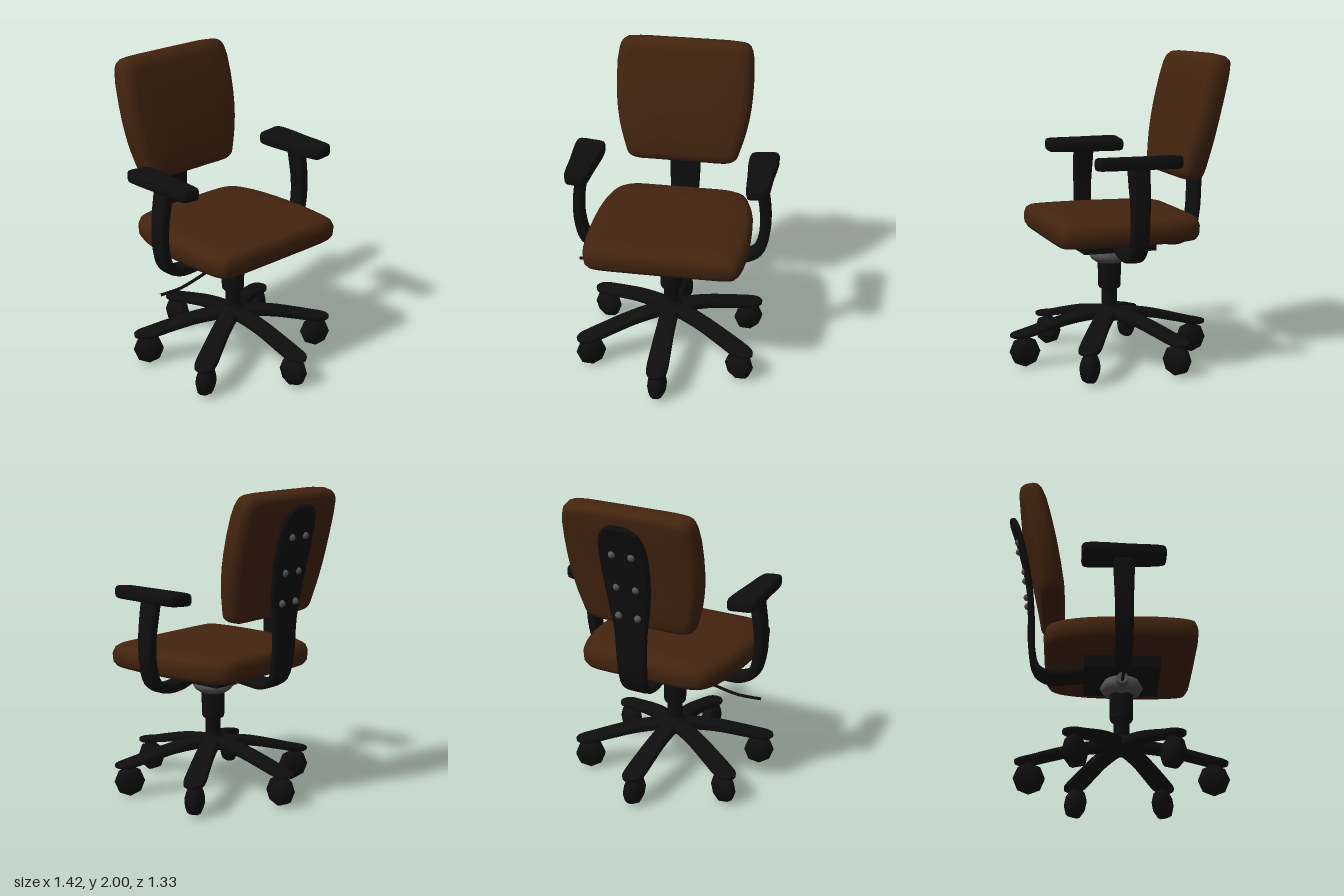
import * as THREE from 'three';

const V = (x, y, z) => new THREE.Vector3(x, y, z);
const CX = 0.04; // axis of the gas column

// Closed solid from equal-length loops of points, capped at both ends, smooth normals
function loft(rings) {
  const n = rings[0].length, pts = rings.flat(), idx = [];
  for (let r = 0; r < rings.length - 1; r++) {
    for (let i = 0; i < n; i++) {
      const a = r * n + i, b = r * n + (i + 1) % n;
      idx.push(a, b, a + n, b, b + n, a + n);
    }
  }
  const cap = (ring, start, flip) => {
    const c = pts.length;
    pts.push(ring.reduce((s, p) => s.add(p), V(0, 0, 0)).divideScalar(n));
    for (let i = 0; i < n; i++) {
      const a = start + i, b = start + (i + 1) % n;
      idx.push(c, ...(flip ? [b, a] : [a, b]));
    }
  };
  cap(rings[0], 0, true);
  cap(rings[rings.length - 1], (rings.length - 1) * n, false);
  // turn the solid outward when its loops run the other way
  let volume = 0;
  for (let i = 0; i < idx.length; i += 3) {
    volume += pts[idx[i]].dot(V(0, 0, 0).crossVectors(pts[idx[i + 1]], pts[idx[i + 2]]));
  }
  if (volume < 0) idx.reverse();
  const g = new THREE.BufferGeometry().setFromPoints(pts);
  g.setIndex(idx);
  g.computeVertexNormals();
  return g;
}

// Padded slab: a smooth outline repeated in layers [scaleA, scaleB, height], placed by a rule
function pad(outline, layers, place, centre = [0, 0]) {
  const curve = new THREE.CatmullRomCurve3(outline.map(([a, b]) => V(a, b, 0)), true);
  const loop = curve.getPoints(48).slice(0, 48);
  return loft(layers.map(([sa, sb, h]) => loop.map(p =>
    place(centre[0] + (p.x - centre[0]) * sa, centre[1] + (p.y - centre[1]) * sb, h))));
}

// Flat bar along points [u, v, halfWidth]; thickness runs from t0 to t1
function bar(points, t0, t1, place, steps = 28) {
  const curve = new THREE.CatmullRomCurve3(points.map(p => V(...p)));
  const rings = [];
  for (let i = 0; i <= steps; i++) {
    const k = i / steps, p = curve.getPoint(k), d = curve.getTangent(k);
    const len = Math.hypot(d.x, d.y), t = t0 + (t1 - t0) * k, ring = [];
    for (let j = 0; j < 12; j++) {
      const a = (j + 0.5) / 12 * Math.PI * 2;
      const round = f => Math.sign(f) * Math.sqrt(Math.abs(f));
      const h = t * round(Math.sin(a)), w = p.z * round(Math.cos(a));
      ring.push(place(p.x - d.y / len * h, p.y + d.x / len * h, w));
    }
    rings.push(ring);
  }
  return loft(rings);
}

const mirrorOutline = half => [...half, ...half.map(([a, b]) => [a, -b]).reverse()];

export function createModel() {
  const chair = new THREE.Group();
  chair.name = 'officeChair';
  const material = (name, color) => {
    const m = new THREE.MeshStandardMaterial({ color });
    m.name = name;
    return m;
  };
  const fabric = material('brownFabric', 0x43240f);
  const black = material('blackPlastic', 0x0e0e0f);
  const metal = material('greyMetal', 0x555555);
  const add = (name, geometry, mat, parent = chair) => {
    const mesh = new THREE.Mesh(geometry, mat);
    mesh.name = name;
    parent.add(mesh);
    return mesh;
  };

  // Seat cushion, outline in (x, z)
  const seatOutline = mirrorOutline([
    [0.505, 0.2], [0.5, 0.42], [0.485, 0.475], [0.44, 0.497], [0.3, 0.518], [0.05, 0.522],
    [-0.2, 0.5], [-0.36, 0.455], [-0.42, 0.41], [-0.447, 0.34], [-0.452, 0.15]]);
  add('seat', pad(seatOutline, [
    [0.4, 0.4, 0.838], [0.88, 0.88, 0.838], [0.96, 0.955, 0.846], [0.995, 0.99, 0.875],
    [1, 1, 0.93], [0.975, 0.97, 0.97], [0.92, 0.91, 0.99], [0.75, 0.75, 1.003], [0.4, 0.4, 1.008],
  ], (x, z, y) => V(x, y, z), [0.025, 0]), fabric);

  // Backrest cushion, outline in (y, z), leaning back with a slight bow
  const backOutline = mirrorOutline([
    [2.0, 0.15], [1.997, 0.33], [1.982, 0.405], [1.92, 0.437], [1.65, 0.447], [1.45, 0.425],
    [1.3, 0.385], [1.235, 0.36], [1.212, 0.315], [1.208, 0.15]]);
  add('backrest', pad(backOutline, [
    [0.5, 0.5, 0.088], [0.84, 0.84, 0.084], [0.94, 0.93, 0.072], [0.99, 0.98, 0.05], [1, 1, 0.02],
    [0.985, 1, -0.03], [0.95, 0.97, -0.06], [0.88, 0.9, -0.077], [0.5, 0.5, -0.083],
  ], (y, z, t) => {
    const k = (y - 1.6) / 0.4;
    return V(-0.472 - 0.085 * k - 0.014 * k * k + t, y + 0.12 * t, z);
  }, [1.6, 0]), fabric);

  // Back support bar and its screws
  add('backBar', bar([
    [-0.16, 0.8, 0.09], [-0.3, 0.785, 0.09], [-0.42, 0.78, 0.09], [-0.5, 0.83, 0.092],
    [-0.535, 0.97, 0.1], [-0.545, 1.2, 0.11], [-0.56, 1.4, 0.14], [-0.595, 1.6, 0.16],
    [-0.645, 1.8, 0.155], [-0.675, 1.88, 0.12], [-0.692, 1.915, 0.07],
  ], 0.026, 0.018, (x, y, w) => V(x, y, w), 40), black);
  for (const [x, y] of [[-0.645, 1.73], [-0.595, 1.51], [-0.575, 1.32]]) {
    for (const z of [-0.065, 0.065]) {
      add('backScrew', new THREE.SphereGeometry(0.023, 10, 8), metal).position.set(x, y, z);
    }
  }

  // Arm supports and tapered arm pads on both sides
  const armOutline = [
    [-0.22, 0.49], [-0.2, 0.475], [-0.13, 0.47], [0.08, 0.484], [0.275, 0.5], [0.298, 0.515],
    [0.302, 0.565], [0.298, 0.62], [0.275, 0.635], [0.08, 0.648], [-0.13, 0.663], [-0.2, 0.657],
    [-0.22, 0.64], [-0.222, 0.565]];
  for (const [side, s] of [['left', 1], ['right', -1]]) {
    add(side + 'ArmSupport', bar([
      [0.15, 0.81, 0.055], [0.24, 0.795, 0.055], [0.35, 0.768, 0.055], [0.48, 0.772, 0.055],
      [0.565, 0.825, 0.056], [0.602, 0.95, 0.057], [0.605, 1.1, 0.06], [0.585, 1.25, 0.066],
      [0.565, 1.36, 0.068],
    ], 0.035, 0.035, (z, y, w) => V(CX + w, y, s * z), 32), black);
    add(side + 'ArmPad', pad(armOutline, [
      [0.94, 0.82, 1.325], [0.985, 0.94, 1.332], [1, 1, 1.35], [1, 1, 1.382],
      [0.985, 0.94, 1.397], [0.95, 0.82, 1.403],
    ], (x, z, y) => V(x, y + (z - 0.565) * 0.09, s * z), [0.04, 0.565]), black);
  }

  // Tilt mechanism below the seat
  const plate = add('mechanismPlate', new THREE.BoxGeometry(0.48, 0.085, 0.47), black);
  plate.position.set(0.04, 0.8, 0);
  const lathe = (profile, sides) =>
    new THREE.LatheGeometry(profile.map(p => new THREE.Vector2(...p)), sides);
  add('mechanismHousing', lathe([
    [0, 0.655], [0.09, 0.66], [0.118, 0.68], [0.136, 0.71], [0.115, 0.745], [0.1, 0.775], [0, 0.775],
  ], 24), metal).position.x = CX;
  const socket = add('leverSocket', new THREE.CylinderGeometry(0.036, 0.05, 0.15, 12), metal);
  socket.rotation.x = Math.PI / 2;
  socket.position.set(CX, 0.697, 0.137);
  const leverPath = new THREE.CatmullRomCurve3([
    V(CX, 0.69, 0.18), V(CX, 0.66, 0.3), V(CX, 0.634, 0.45), V(CX, 0.635, 0.54), V(CX, 0.64, 0.62)]);
  add('heightLever', new THREE.TubeGeometry(leverPath, 20, 0.01, 8), black);

  // Gas column
  add('column', lathe([
    [0, 0.28], [0.09, 0.28], [0.1, 0.31], [0.085, 0.345], [0.055, 0.365], [0.05, 0.385],
    [0.05, 0.485], [0.066, 0.487], [0.073, 0.5], [0.076, 0.64], [0.076, 0.68], [0, 0.68],
  ], 24), black).position.x = CX;

  // Six-spoke base with casters
  const legShape = bar([
    [0.02, 0.322, 0.06], [0.13, 0.316, 0.06], [0.28, 0.295, 0.062], [0.44, 0.256, 0.067],
    [0.57, 0.222, 0.069], [0.62, 0.215, 0.06], [0.65, 0.213, 0.038], [0.662, 0.212, 0.02],
  ], 0.036, 0.01, (x, y, w) => V(x, y, w));
  const wheelShape = lathe([
    [0, -0.058], [0.035, -0.058], [0.06, -0.05], [0.088, -0.035], [0.098, -0.016], [0.098, 0.016],
    [0.088, 0.035], [0.06, 0.05], [0.035, 0.058], [0, 0.058]], 8);
  wheelShape.rotateX(Math.PI / 2);
  const stemShape = new THREE.CylinderGeometry(0.03, 0.035, 0.1, 10);
  for (let i = 0; i < 6; i++) {
    const spoke = new THREE.Group();
    spoke.name = 'baseSpoke';
    spoke.position.x = CX;
    spoke.rotation.y = i * Math.PI / 3;
    add('baseLeg', legShape, black, spoke);
    add('casterStem', stemShape, black, spoke).position.set(0.57, 0.175, 0);
    add('casterWheel', wheelShape, black, spoke).position.set(0.57, 0.104, 0);
    chair.add(spoke);
  }
  return chair;
}
